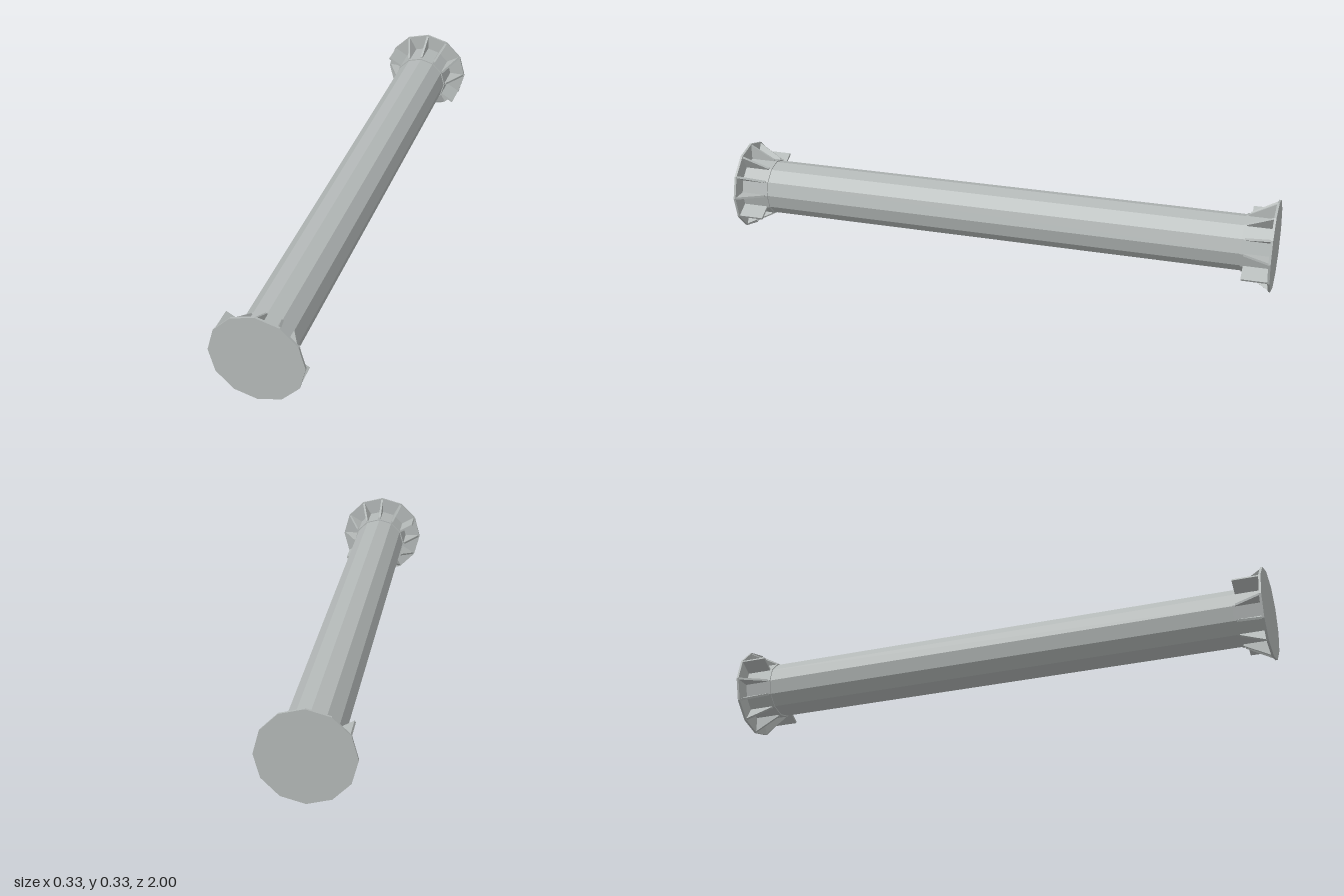
import * as THREE from 'three';

const SIDES = 12;
const FLANGE_R = 0.163, PIPE_R = 0.1, COLLAR_R = 0.104;
const FLANGE_T = 0.008, RIB_T = 0.008, RIB_START = 0.9;

export function createModel() {
  const steel = new THREE.MeshStandardMaterial({ color: 0xb3b8b7, flatShading: true });
  steel.name = 'grey steel';
  const model = new THREE.Group();
  model.name = 'flangedPipe';

  const add = (parent, name, geometry) => {
    const mesh = new THREE.Mesh(geometry, steel);
    mesh.name = name;
    parent.add(mesh);
    return mesh;
  };

  // Twelve-sided prism lying along z
  const prism = (radius, length, z, open = false) =>
    new THREE.CylinderGeometry(radius, radius, length, SIDES, 1, open)
      .rotateX(Math.PI / 2).translate(0, 0, z);

  // Radial plate, drawn as radius against distance along z
  const rib = (side, square, angle) => {
    const outer = FLANGE_R - 0.003;
    const tip = square ? outer : COLLAR_R + 0.004;
    const end = 1 - FLANGE_T / 2;
    const shape = new THREE.Shape([
      [PIPE_R - 0.01, RIB_START], [tip, RIB_START], [outer, end], [PIPE_R - 0.01, end],
    ].map(([r, z]) => new THREE.Vector2(r, side * z)));
    return new THREE.ExtrudeGeometry(shape, { depth: RIB_T, bevelEnabled: false })
      .translate(0, 0, -RIB_T / 2).rotateX(Math.PI / 2).rotateZ(angle);
  };

  add(model, 'pipe', prism(PIPE_R, 1.99, 0, true));

  // Matching flanged ends, front and back
  for (const side of [1, -1]) {
    const end = new THREE.Group();
    end.name = side > 0 ? 'frontEnd' : 'backEnd';
    add(end, 'flange', prism(FLANGE_R, FLANGE_T, side * (1 - FLANGE_T / 2)));
    add(end, 'collar', prism(COLLAR_R, 0.105, side * 0.943));
    for (let i = 0; i < SIDES; i++) {
      // Two opposite ribs are full rectangles, the rest taper
      const square = i === 5 || i === 11;
      add(end, square ? 'squareRib' : 'taperedRib', rib(side, square, i * Math.PI * 2 / SIDES));
    }
    model.add(end);
  }

  model.position.y = FLANGE_R;
  const root = new THREE.Group();
  root.name = 'model';
  root.add(model);
  return root;
}
